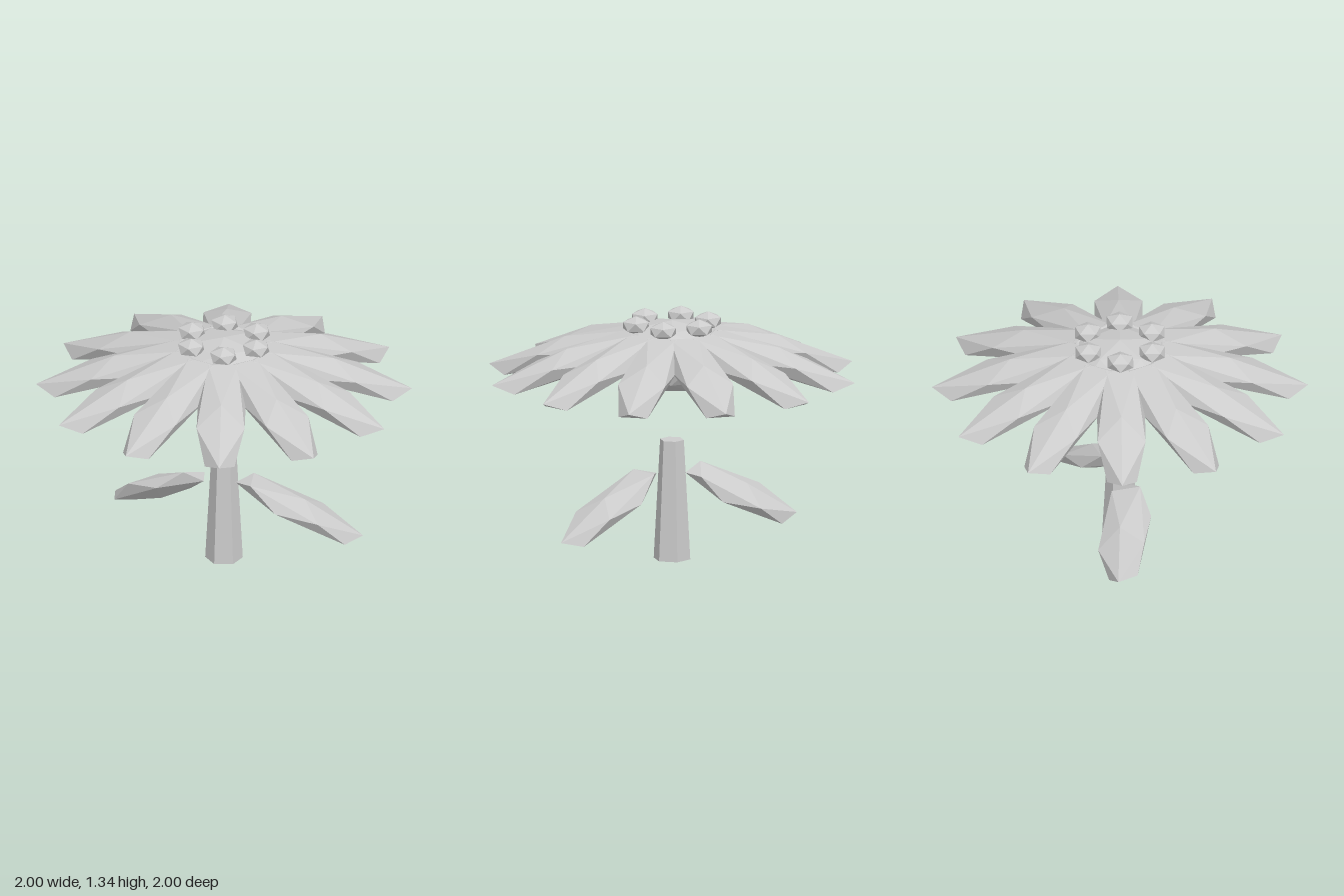
import * as THREE from 'three';

const material = new THREE.MeshStandardMaterial({ color: 0xcccccc, flatShading: true });

// Faceted ball with one corner straight up and another leaning along +z
function facetedBall(detail) {
  return new THREE.IcosahedronGeometry(1, detail).rotateX(-Math.atan2(0.851, 0.526));
}

function part(name, geometry, position, scale = [1, 1, 1]) {
  const mesh = new THREE.Mesh(geometry, material);
  mesh.name = name;
  mesh.position.set(...position);
  mesh.scale.set(...scale);
  return mesh;
}

// Turns a mesh so its length (z) follows dir and its width (x) lies near side
function aim(mesh, dir, side) {
  const z = new THREE.Vector3(...dir).normalize();
  const x = side ? new THREE.Vector3(...side) : new THREE.Vector3(0, 1, 0).cross(z);
  const y = z.clone().cross(x).normalize();
  x.crossVectors(y, z);
  mesh.quaternion.setFromRotationMatrix(new THREE.Matrix4().makeBasis(x, y, z));
  return mesh;
}

export function createModel() {
  const flower = new THREE.Group();
  flower.name = 'flower';
  const ball = facetedBall(0);

  // Six-sided tapering stem
  flower.add(part('stem', new THREE.CylinderGeometry(0.065, 0.1, 0.65, 6), [0, 0.325, 0]));

  // Two drooping leaves
  flower.add(aim(part('leftLeaf', ball, [0.39, 0.33, -0.13], [0.157, 0.065, 0.41]),
    [0.81, -0.45, -0.38]));
  flower.add(aim(part('rightLeaf', ball, [-0.39, 0.33, 0.02], [0.157, 0.065, 0.36]),
    [-0.89, -0.445, -0.08], [0, 0.42, 0.9]));

  // Flattened flower head
  const head = part('flowerHead', facetedBall(1), [0, 1.11, 0], [0.35, 0.19, 0.35]);
  head.rotation.y = Math.PI / 2;
  flower.add(head);

  // Ring of twelve petals sloping outwards
  const petals = new THREE.Group();
  petals.name = 'petals';
  const droop = 0.3;
  for (let i = 0; i < 12; i++) {
    const a = (i * Math.PI) / 6, s = Math.sin(a), c = Math.cos(a);
    petals.add(aim(part('petal', ball, [0.563 * s, 1.11, 0.563 * c], [0.15, 0.076, 0.5]),
      [s * Math.cos(droop), -Math.sin(droop), c * Math.cos(droop)]));
  }
  flower.add(petals);

  // Six seeds on top of the head
  const seeds = new THREE.Group();
  seeds.name = 'seeds';
  for (let i = 0; i < 6; i++) {
    const a = (i * Math.PI) / 3;
    const seed = part('seed', ball, [0.2 * Math.cos(a), 1.285, 0.17 / 0.866 * Math.sin(a)], [0.08, 0.05, 0.08]);
    seed.rotation.y = Math.PI / 2;
    seeds.add(seed);
  }
  flower.add(seeds);

  return flower;
}
